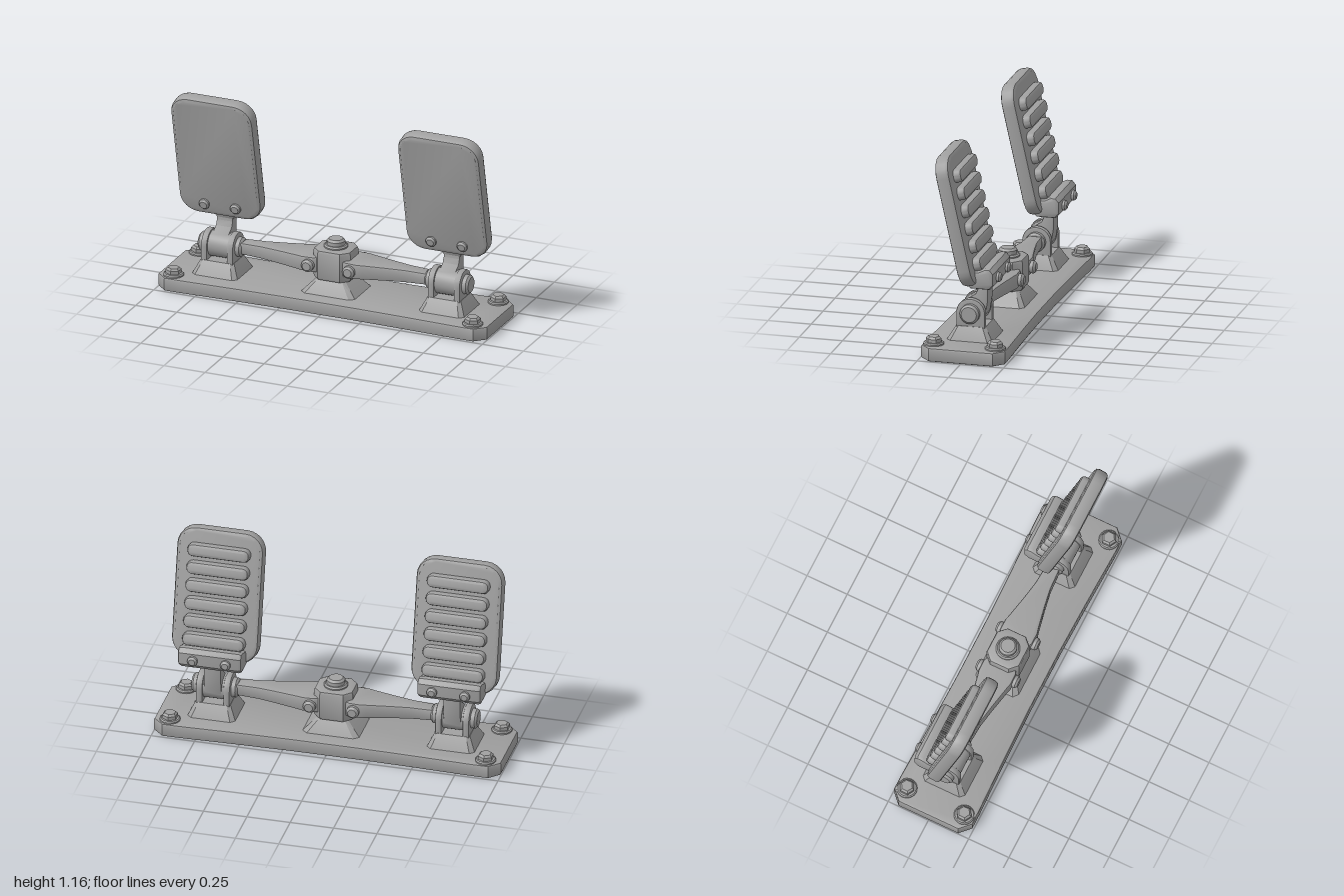
import * as THREE from 'three';
import { toCreasedNormals } from 'three/addons/utils/BufferGeometryUtils.js';

const metal = new THREE.MeshStandardMaterial({ color: 0xa0a0a0 });
metal.name = 'grey metal';

function add(parent, name, geometry, x = 0, y = 0, z = 0) {
  const mesh = new THREE.Mesh(toCreasedNormals(geometry, 0.55), metal);
  mesh.name = name;
  mesh.position.set(x, y, z);
  parent.add(mesh);
  return mesh;
}

const polygon = (pts) => new THREE.Shape(pts.map(([x, y]) => new THREE.Vector2(x, y)));

// Rectangle with rounded (n > 1) or chamfered (n = 1) corners, centred on (0, cy)
function cornered(hw, hh, r, n = 1, cy = 0) {
  const pts = [];
  [[1, 1], [-1, 1], [-1, -1], [1, -1]].forEach(([sx, sy], q) => {
    for (let i = 0; i <= n; i++) {
      const a = (q + i / n) * Math.PI / 2;
      pts.push([sx * (hw - r) + r * Math.cos(a), cy + sy * (hh - r) + r * Math.sin(a)]);
    }
  });
  return polygon(pts);
}

// Bevelled slab of exact outline and thickness, centred on z = 0
function slab(shape, thickness, bevel, segments = 2) {
  const g = new THREE.ExtrudeGeometry(shape, {
    depth: thickness - 2 * bevel, bevelThickness: bevel, bevelSize: bevel,
    bevelOffset: -bevel, bevelSegments: segments, curveSegments: 12,
  });
  return g.translate(0, 0, -(thickness - 2 * bevel) / 2);
}
const acrossX = (g) => g.rotateY(-Math.PI / 2); // outline drawn as (z, y)
const acrossY = (g) => g.rotateX(Math.PI / 2); // outline drawn as (x, z)

// Vertical frustum with chamfered corners, from y = 0 to h
function frustum(bx, bz, tx, tz, h) {
  const g = acrossY(slab(cornered(1, 1, 0.18), h, 0.001, 1)).translate(0, h / 2, 0);
  const p = g.attributes.position;
  for (let i = 0; i < p.count; i++) {
    const t = p.getY(i) / h;
    p.setX(i, p.getX(i) * THREE.MathUtils.lerp(bx, tx, t));
    p.setZ(i, p.getZ(i) * THREE.MathUtils.lerp(bz, tz, t));
  }
  return g;
}

// Turned stud along +y with a chamfered rim
function stud(r, h, sides = 20) {
  const c = Math.min(0.012, h * 0.4);
  const pts = [[0, 0], [r, 0], [r, h - c], [r - c, h], [0, h]];
  return new THREE.LatheGeometry(pts.map(([x, y]) => new THREE.Vector2(x, y)), sides);
}

function pedalPlate() {
  const g = new THREE.Group();
  g.name = 'pedalPlate';
  // Rounded frame
  const outline = cornered(0.25, 0.382, 0.11, 6);
  outline.holes.push(new THREE.Path(cornered(0.207, 0.307, 0.055, 2, 0.03).getPoints().reverse()));
  add(g, 'plateFrame', slab(outline, 0.084, 0.022));
  add(g, 'plateFloor', slab(cornered(0.215, 0.315, 0.05, 2, 0.03), 0.036, 0.002, 1), 0, 0, -0.01);
  // Front ribs
  add(g, 'verticalRib', slab(cornered(0.025, 0.305, 0.008), 0.05, 0.012), 0, 0.03, 0.008);
  for (const y of [0.145, -0.065]) {
    add(g, 'crossRib', slab(cornered(0.195, 0.036, 0.01), 0.045, 0.018, 1), 0, y, 0.008);
  }
  // Rear treads
  for (let i = 0; i < 6; i++) {
    add(g, 'tread', slab(cornered(0.18, 0.038, 0.034, 4), 0.075, 0.02), 0, 0.256 - i * 0.104, -0.05);
  }
  for (const s of [-1, 1]) {
    add(g, 'frontRivet', stud(0.031, 0.025).rotateX(Math.PI / 2), s * 0.095, -0.31, 0.038);
  }
  g.position.set(0, 0.787, 0.06);
  g.rotation.x = 0.22;
  return g;
}

function pedal(side) {
  const g = new THREE.Group();
  g.name = side > 0 ? 'leftPedal' : 'rightPedal';
  g.position.x = 0.69 * side;
  add(g, 'pedestal', frustum(0.138, 0.132, 0.1, 0.085, 0.08), 0, 0.078, 0);
  // Clevis ears and axle
  const ear = new THREE.Shape();
  ear.moveTo(-0.083, 0.14);
  ear.lineTo(0.083, 0.14);
  ear.lineTo(0.083, 0.235);
  ear.absarc(0, 0.235, 0.083, 0, Math.PI, false);
  for (const s of [-1, 1]) {
    add(g, 'clevisEar', acrossX(slab(ear, 0.038, 0.008)), s * 0.079);
    add(g, 'axleCap', stud(0.056, 0.04, 24).rotateZ(-s * Math.PI / 2), s * 0.093, 0.235, 0);
  }
  add(g, 'hub', new THREE.CylinderGeometry(0.075, 0.075, 0.124, 28).rotateZ(Math.PI / 2), 0, 0.235, 0);
  // Lever rising behind the axle
  const lever = polygon([[-0.075, 0.22], [0.03, 0.22], [0.055, 0.285], [0.02, 0.312], [-0.015, 0.335],
    [-0.029, 0.365], [-0.029, 0.43], [-0.088, 0.43], [-0.088, 0.3]]);
  add(g, 'lever', acrossX(slab(lever, 0.1, 0.008)));
  add(g, 'leverFlare', frustum(0.05, 0.03, 0.066, 0.04, 0.035), 0, 0.378, -0.06);
  // Bracket holding the plate
  const bracket = polygon([[0.0, 0.425], [-0.02, 0.403], [-0.13, 0.403], [-0.156, 0.43], [-0.156, 0.5],
    [-0.135, 0.525], [-0.105, 0.525], [-0.07, 0.508], [-0.01, 0.5]]);
  add(g, 'bracket', acrossX(slab(bracket, 0.37, 0.02)));
  for (const s of [-1, 1]) {
    add(g, 'rearBolt', stud(0.029, 0.028).rotateX(-Math.PI / 2), s * 0.095, 0.46, -0.152);
  }
  g.add(pedalPlate());
  return g;
}

function linkArm(side) {
  // Plan outline narrowing towards the pedal, also thinning in height
  const half = [[0.07, 0.085], [0.1, 0.1], [0.17, 0.1], [0.2, 0.092], [0.33, 0.066], [0.44, 0.047], [0.57, 0.04]];
  const pts = [...half.map(([x, z]) => [x, -z]), ...half.map(([x, z]) => [x, z]).reverse()];
  const geo = acrossY(slab(polygon(pts), 0.09, 0.012));
  const p = geo.attributes.position;
  for (let i = 0; i < p.count; i++) {
    p.setY(i, p.getY(i) * THREE.MathUtils.mapLinear(p.getX(i), 0.07, 0.57, 1.05, 0.75));
  }
  if (side < 0) geo.rotateY(Math.PI);
  return geo;
}

export function createModel() {
  const model = new THREE.Group();
  model.name = 'pedalAssembly';

  // Base plate with clipped corners and a slight waist
  const edge = [[1, 0.185], [0.94, 0.243], [0.85, 0.243], [0.5, 0.232], [0.2, 0.226]];
  const mirrored = edge.map(([x, z]) => [-x, z]).reverse();
  const topEdge = [...edge, ...mirrored];
  const base = polygon([...topEdge, ...topEdge.map(([x, z]) => [-x, -z])]);
  add(model, 'basePlate', acrossY(slab(base, 0.08, 0.012)), 0, 0.04, 0);

  // Base bolts
  for (const sx of [-1, 1]) for (const sz of [-1, 1]) {
    add(model, 'boltWasher', stud(0.058, 0.016, 24), sx * 0.91, 0.078, sz * 0.178);
    add(model, 'boltHead', stud(0.045, 0.036, 6), sx * 0.91, 0.09, sz * 0.178);
  }

  // Central pivot
  const pivot = new THREE.Group();
  pivot.name = 'centralPivot';
  model.add(pivot);
  add(pivot, 'pivotPedestal', frustum(0.165, 0.135, 0.09, 0.085, 0.08), 0, 0.078, 0);
  add(pivot, 'pivotBlock', acrossY(slab(cornered(0.112, 0.102, 0.045), 0.182, 0.018)), 0, 0.244, 0);
  add(pivot, 'pivotCollar', stud(0.068, 0.02, 24), 0, 0.33, 0);
  add(pivot, 'pivotBolt', stud(0.052, 0.04, 20), 0, 0.343, 0);

  for (const side of [-1, 1]) {
    add(model, side > 0 ? 'leftLinkArm' : 'rightLinkArm', linkArm(side), 0, 0.24, 0);
    for (const s of [-1, 1]) {
      add(model, 'linkBolt', stud(0.036, 0.036).rotateX(s * Math.PI / 2), side * 0.125, 0.238, s * 0.094);
    }
    model.add(pedal(side));
  }
  return model;
}
